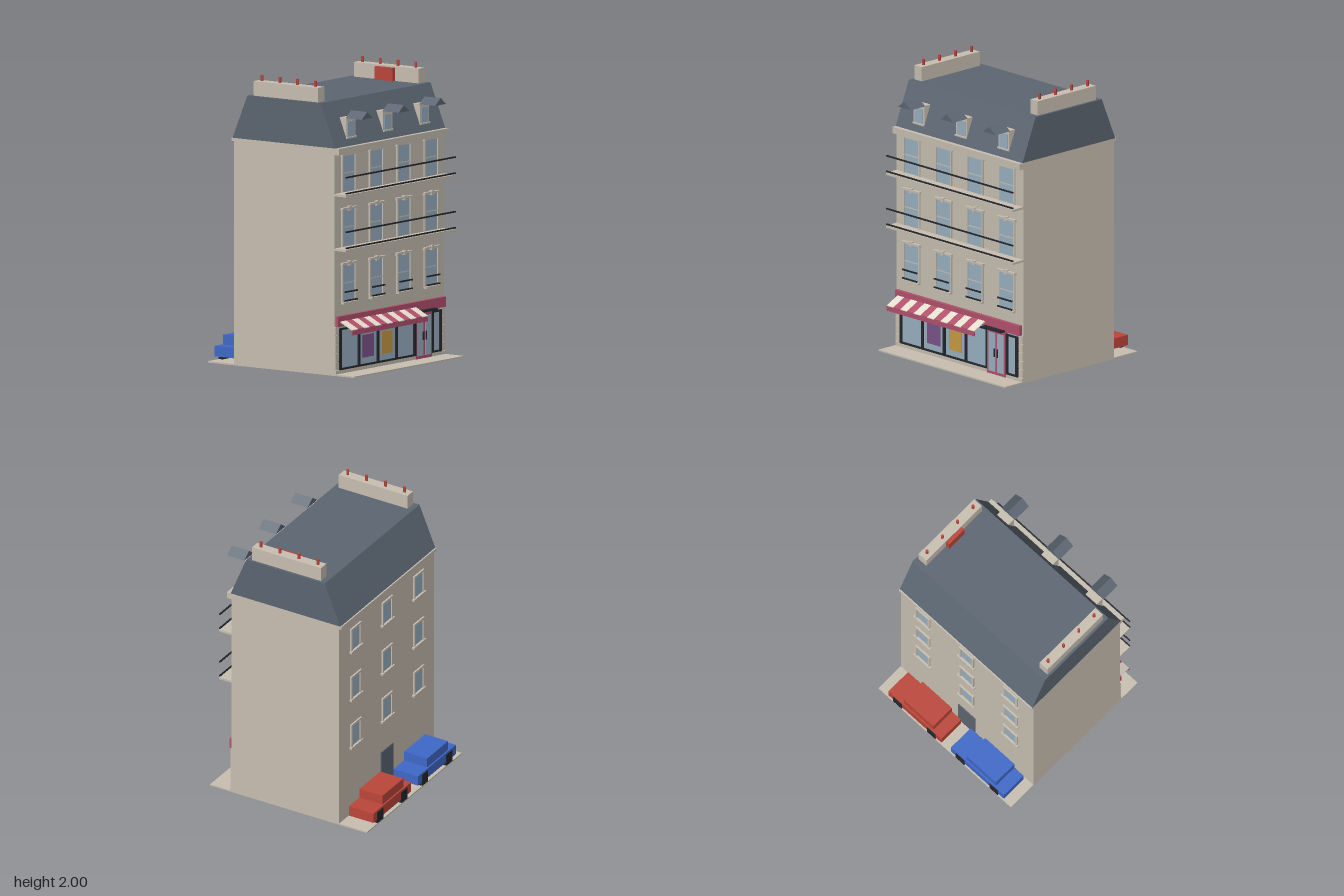
import * as THREE from 'three';

const mat = (name, color) => {
  const m = new THREE.MeshStandardMaterial({ color });
  m.name = name;
  return m;
};

export function createModel() {
  const stone = mat('stone', 0xc9c0b2), slate = mat('slate', 0x5c6672), glass = mat('glass', 0x9ab1c3);
  const iron = mat('iron black', 0x24272c), pink = mat('shop pink', 0xb3526d), cream = mat('cream', 0xe6dfd0);
  const red = mat('red', 0xbd463a), blue = mat('blue', 0x3f69c9);
  const purple = mat('purple', 0x7d5489), ochre = mat('ochre', 0xc99b42);

  const root = new THREE.Group();
  root.name = 'cornerBuilding';

  const group = (name, x = 0, y = 0, z = 0, parent = root) => {
    const g = new THREE.Group();
    g.name = name;
    g.position.set(x, y, z);
    parent.add(g);
    return g;
  };
  // Box given by its extents on each axis
  const box = (name, m, [x0, x1], [y0, y1], [z0, z1], parent = root) => {
    const mesh = new THREE.Mesh(new THREE.BoxGeometry(x1 - x0, y1 - y0, z1 - z0), m);
    mesh.position.set((x0 + x1) / 2, (y0 + y1) / 2, (z0 + z1) / 2);
    mesh.name = name;
    parent.add(mesh);
    return mesh;
  };
  // Polygon extruded along z
  const prism = (name, m, pts, depth, parent = root) => {
    const shape = new THREE.Shape(pts.map(p => new THREE.Vector2(...p)));
    const mesh = new THREE.Mesh(new THREE.ExtrudeGeometry(shape, { depth, bevelEnabled: false }), m);
    mesh.name = name;
    parent.add(mesh);
    return mesh;
  };

  // Pavement and main walls
  box('pavement', stone, [-0.62, 0.62], [0.005, 0.015], [-0.62, 0.62]);
  box('doorStep', stone, [0.26, 0.48], [0, 0.012], [0.45, 0.57]);
  box('walls', stone, [-0.62, 0.62], [0.012, 1.56], [-0.4, 0.45]);
  box('frontCornice', stone, [-0.62, 0.62], [1.515, 1.56], [0.45, 0.488]);
  box('backCornice', stone, [-0.62, 0.62], [1.537, 1.56], [-0.42, -0.4]);

  // Mansard roof: profile in (z, y), swept across the width
  const roof = prism('mansardRoof', slate, [[-0.458, 1.56], [0.41, 1.56], [0.285, 1.86], [-0.335, 1.86]], 1.24);
  roof.rotation.y = Math.PI / 2;
  roof.position.x = -0.62;

  // Chimney stacks with clay pots
  for (const s of [-1, 1]) {
    const c = group(s < 0 ? 'rightChimney' : 'leftChimney', s * 0.567);
    box('stack', stone, [-0.036, 0.036], [1.86, 1.96], [-0.245, 0.3], c);
    for (const z of [-0.2, -0.05, 0.1, 0.25]) {
      const pot = new THREE.Mesh(new THREE.CylinderGeometry(0.01, 0.01, 0.045, 10), red);
      pot.position.set(0, 1.9775, z);
      pot.name = 'chimneyPot';
      c.add(pot);
    }
  }
  box('roofHatch', red, [0.503, 0.531], [1.86, 1.95], [-0.05, 0.1]);

  // Dormers
  for (const x of [-0.415, 0, 0.415]) {
    const d = group('dormer', x);
    box('dormerBody', stone, [-0.053, 0.053], [1.61, 1.75], [0.36, 0.437], d);
    box('dormerPane', glass, [-0.04, 0.04], [1.62, 1.725], [0.437, 0.441], d);
    box('dormerSill', stone, [-0.056, 0.056], [1.608, 1.618], [0.437, 0.446], d);
    prism('dormerRoof', slate, [[-0.062, 1.75], [0.062, 1.75], [0, 1.797]], 0.137, d).position.z = 0.437;
  }

  // Front windows
  const columns = [-0.465, -0.155, 0.155, 0.465];
  [[0.5, 0.755], [0.88, 1.13], [1.25, 1.5]].forEach(([y0, y1], floor) => {
    for (const x of columns) {
      const w = group('frontWindow', x, 0, 0.45);
      box('pane', glass, [-0.068, 0.068], [y0, y1], [-0.003, 0.004], w);
      for (const s of [-1, 1]) {
        const e = [s * 0.068, s * 0.08].sort((a, b) => a - b);
        box('jamb', stone, e, [y0, y1], [0, 0.012], w);
        box('lintelEnd', stone, [s * 0.08 - 0.008, s * 0.08 + 0.008], [y1 - 0.004, y1 + 0.004], [0, 0.016], w);
      }
      box('lintel', stone, [-0.086, 0.086], [y1, y1 + 0.014], [0, 0.02], w);
      if (floor < 2) box('keystone', stone, [-0.013, 0.013], [y1 - 0.01, y1 + 0.022], [0, 0.023], w);
      box('transom', stone, [-0.068, 0.068], [y0 + 0.125, y0 + 0.132], [0, 0.007], w);
      if (floor === 0) {
        box('sill', stone, [-0.08, 0.08], [0.487, 0.5], [0, 0.026], w);
        for (const y of [0.51, 0.57])
          box('windowRail', iron, [-0.072, 0.072], [y - 0.005, y + 0.005], [0.022, 0.03], w);
      }
    }
  });

  // Full-width balconies with two rails each
  for (const y of [0.86, 1.233]) {
    box('balcony', stone, [-0.62, 0.62], [y, y + 0.016], [0.45, 0.55]);
    for (const r of [y + 0.025, y + 0.135])
      box('balconyRail', iron, [-0.62, 0.62], [r - 0.005, r + 0.005], [0.542, 0.55]);
  }

  // Shop front: plinth, corner blocks, frame and panes
  const shop = group('shopFront');
  box('plinth', stone, [-0.62, 0.62], [0.015, 0.04], [0.45, 0.462], shop);
  for (const x of [-0.6, 0.6])
    for (let i = 0; i < 5; i++)
      box('cornerBlock', stone, [x - 0.02, x + 0.02], [0.043 + i * 0.06, 0.098 + i * 0.06], [0.45, 0.458], shop);
  box('shopPane', glass, [-0.575, 0.285], [0.045, 0.34], [0.448, 0.455], shop);
  box('sidePane', glass, [0.465, 0.575], [0.045, 0.34], [0.448, 0.455], shop);
  for (const x of [-0.566, -0.355, -0.143, 0.07, 0.274, 0.472, 0.567])
    box('mullion', iron, [x - 0.01, x + 0.01], [0.04, 0.325], [0.45, 0.466], shop);
  for (const e of [[-0.576, 0.284], [0.462, 0.577]])
    for (const y of [0.04, 0.313])
      box('frameRail', iron, e, [y, y + 0.012], [0.45, 0.466], shop);
  box('purplePoster', purple, [-0.312, -0.186], [0.095, 0.25], [0.455, 0.459], shop);
  box('ochrePoster', ochre, [-0.1, 0.026], [0.095, 0.25], [0.455, 0.459], shop);
  box('fascia', pink, [-0.61, 0.606], [0.34, 0.41], [0.45, 0.475], shop);

  // Shop door
  const door = group('shopDoor', 0.373);
  box('doorLeaf', pink, [-0.09, 0.09], [0.015, 0.335], [0.45, 0.466], door);
  for (const s of [-1, 1]) {
    box('doorPane', glass, [s * 0.042 - 0.031, s * 0.042 + 0.031], [0.035, 0.308], [0.466, 0.469], door);
    box('doorHandle', iron, [s * 0.016 - 0.004, s * 0.016 + 0.004], [0.14, 0.2], [0.469, 0.476], door);
  }
  box('doorCanopy', iron, [-0.097, 0.093], [0.338, 0.35], [0.45, 0.515], door);

  // Striped awning with front valance
  const awning = group('awning');
  const stripe = 0.855 / 13;
  for (let i = 0; i < 13; i++) {
    const s = prism('awningStripe', i % 2 ? pink : cream,
      [[-0.575, 0.318], [-0.47, 0.37], [-0.47, 0.378], [-0.575, 0.326]], stripe, awning);
    s.rotation.y = Math.PI / 2;
    s.position.x = -0.585 + i * stripe;
  }
  box('valance', pink, [-0.585, 0.27], [0.288, 0.321], [0.57, 0.576], awning);

  // Back windows and door
  for (const y of [0.53, 0.905, 1.28])
    for (const x of [-0.41, 0, 0.41]) {
      const w = group('backWindow', x, y, -0.4);
      box('pane', glass, [-0.052, 0.052], [0.012, 0.172], [-0.004, 0.003], w);
      for (const s of [-1, 1])
        box('jamb', stone, [s * 0.059 - 0.008, s * 0.059 + 0.008], [0.012, 0.172], [-0.012, 0], w);
      box('head', stone, [-0.067, 0.067], [0.17, 0.186], [-0.012, 0], w);
      box('sill', stone, [-0.078, 0.078], [0, 0.014], [-0.02, 0], w);
    }
  box('backDoor', slate, [-0.078, 0.078], [0.015, 0.3], [-0.407, -0.4]);

  // Parked cars behind the building
  for (const [name, m, x] of [['redCar', red, 0.283], ['blueCar', blue, -0.302]]) {
    const car = group(name, x, 0, -0.518);
    box('carBody', m, [-0.248, 0.248], [0.04, 0.112], [-0.098, 0.095], car);
    box('carCabin', m, [-0.163, 0.111], [0.112, 0.18], [-0.087, 0.095], car);
    for (const wx of [-0.155, 0.16])
      for (const [z0, z1] of [[-0.102, -0.07], [0.068, 0.099]])
        box('wheel', iron, [wx - 0.039, wx + 0.039], [0.015, 0.098], [z0, z1], car);
  }

  return root;
}
